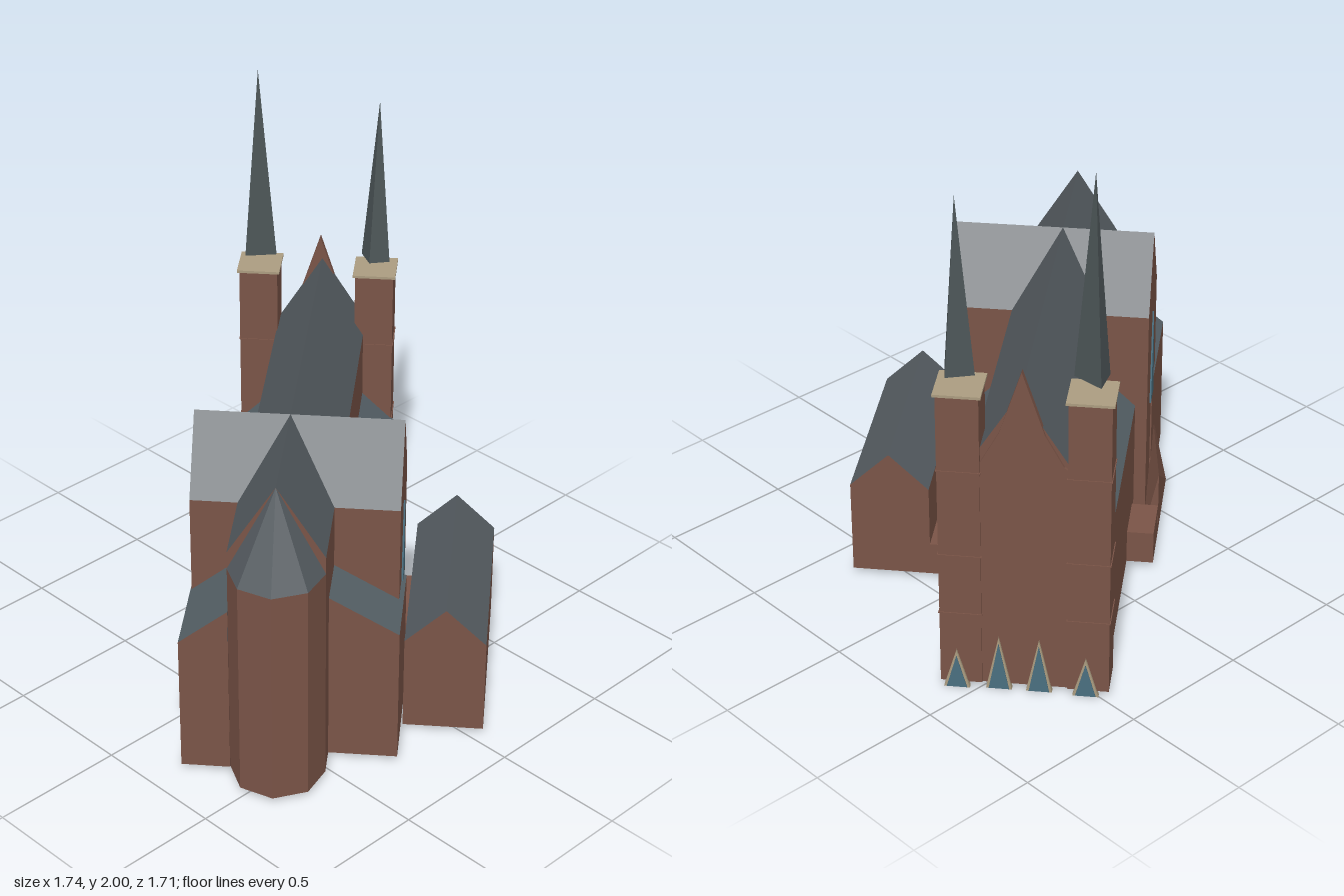
import * as THREE from 'three';
import { ConvexGeometry } from 'three/addons/geometries/ConvexGeometry.js';

const mat = (name, color) => Object.assign(new THREE.MeshStandardMaterial({ color, flatShading: true }), { name });

export function createModel() {
  const brick = mat('brick', 0x7a5447);
  const slate = mat('slate', 0x555c61);
  const aisleSlate = mat('aisleSlate', 0x556066);
  const spireSlate = mat('spireSlate', 0x4c5557);
  const glass = mat('glass', 0x4a6f80);
  const stone = mat('stone', 0xab9c80);

  const model = new THREE.Group();
  model.name = 'church';
  // local x runs along the nave towards the towers, local z across it
  const church = new THREE.Group();
  church.name = 'churchBody';
  church.rotation.y = 0.697;
  model.add(church);

  const add = (name, geometry, material, parent = church) => {
    const mesh = new THREE.Mesh(geometry, material);
    mesh.name = name;
    parent.add(mesh);
    return mesh;
  };
  // box given by its limits
  const block = (name, x0, x1, y0, y1, z0, z1, material = brick) => {
    const g = new THREE.BoxGeometry(x1 - x0, y1 - y0, z1 - z0);
    g.translate((x0 + x1) / 2, (y0 + y1) / 2, (z0 + z1) / 2);
    return add(name, g, material);
  };
  const extrude = (pts, depth) => new THREE.ExtrudeGeometry(
    new THREE.Shape(pts.map(p => new THREE.Vector2(...p))), { depth, bevelEnabled: false });
  // (z, y) profile run along x; (x, y) profile run along z
  const alongX = (name, pts, x0, x1, material) => {
    const g = extrude(pts.map(([z, y]) => [-z, y]), x1 - x0);
    g.rotateY(Math.PI / 2);
    g.translate(x0, 0, 0);
    return add(name, g, material);
  };
  const alongZ = (name, pts, z0, z1, material) => {
    const g = extrude(pts, z1 - z0);
    g.translate(0, 0, z0);
    return add(name, g, material);
  };

  const base = 0.02, mid = -0.035, eave = 0.93, ridge = 1.2;
  const roofMats = [brick, slate];
  const n0 = mid - 0.17, n1 = mid + 0.17;

  // nave
  block('naveWalls', -0.81, 0.89, base, eave, n0, n1);
  alongX('naveRoof', [[n0, eave], [n1, eave], [mid, ridge]], -0.81, 0.89, roofMats);

  // transept with a tall pointed window at each end
  const tx = -0.326, tw = 0.167;
  block('transeptWalls', tx - tw, tx + tw, base, eave, -0.375, 0.367);
  alongZ('transeptRoof', [[tx - tw, eave], [tx + tw, eave], [tx, ridge]], -0.375, 0.367, roofMats);
  for (const z of [-0.381, 0.367]) {
    alongZ('transeptWindow', [[tx - 0.056, 0.5], [tx + 0.056, 0.5], [tx, 0.87]], z, z + 0.006, glass);
  }

  // half-octagon apse
  const apseWalls = new THREE.CylinderGeometry(0.17, 0.17, 0.865 - base, 4, 1, false, Math.PI, Math.PI);
  apseWalls.translate(-0.81, (0.865 + base) / 2, mid);
  add('apseWalls', apseWalls, brick);
  const apseRoof = new THREE.ConeGeometry(0.17, ridge - 0.865, 4, 1, true, Math.PI, Math.PI);
  apseRoof.translate(-0.81, (ridge + 0.865) / 2, mid);
  add('apseRoof', apseRoof, slate);

  // side aisles with lean-to roofs: inner z, outer z, x range, top height
  for (const [zi, zo, x0, x1, top] of [
    [n1, 0.26, tx, 0.77, 0.67], [n1, 0.383, -0.7, tx, 0.69],
    [n0, -0.33, tx, 0.77, 0.67], [n0, -0.38, -0.817, tx, 0.69],
  ]) {
    block('aisleWalls', x0, x1, base, 0.55, Math.min(zi, zo), Math.max(zi, zo));
    alongX('aisleRoof', [[zi, 0.55], [zo, 0.55], [zi, top]], x0, x1, [brick, aisleSlate]);
  }

  // entrance wall with a hollow-sided gable
  alongX('facade', [[-0.2, base], [0.11, base], [0.11, 0.92], [0.1, 0.93], [0.035, 1.05], [-0.043, 1.29],
    [-0.121, 1.05], [-0.186, 0.93], [-0.2, 0.92]], 0.875, 0.9, brick);

  // twin towers with string courses, stone caps and raised spires
  const spires = [
    { z: 0.175, tip: [0.752, 1.89, -0.39], foot: [[0.69, -0.375], [0.73, -0.455], [0.815, -0.4], [0.755, -0.33]] },
    { z: -0.273, tip: [0.457, 2, -0.74], foot: [[0.395, -0.755], [0.485, -0.805], [0.49, -0.68]] },
  ];
  for (const { z, tip, foot } of spires) {
    const square = (name, r, y0, y1, m) => block(name, 0.834 - r, 0.834 + r, y0, y1, z - r, z + r, m);
    square('tower', 0.0735, base, 1.183, brick);
    for (const y of [0.31, 0.55, 0.89]) square('stringCourse', 0.077, y - 0.002, y + 0.002, brick);
    square('towerCap', 0.082, 1.183, 1.193, stone);
    const pts = foot.map(([x, fz]) => new THREE.Vector3(x, 1.24, fz));
    add('spire', new ConvexGeometry([...pts, new THREE.Vector3(...tip)]), spireSlate, model);
  }

  // four pointed doorways
  for (const [z, h, x] of [[0.19, 0.15, 0.907], [0.042, 0.21, 0.9], [-0.1, 0.21, 0.9], [-0.265, 0.15, 0.907]]) {
    alongX('doorFrame', [[z - 0.046, 0], [z + 0.046, 0], [z, h + 0.008]], x - 0.01, x + 0.01, stone);
    alongX('door', [[z - 0.036, 0.003], [z + 0.036, 0.003], [z, h - 0.015]], x + 0.01, x + 0.014, glass);
  }

  // hall beside the nave and its low passage
  block('hallWalls', -0.508, 0.267, base, 0.39, 0.39, 0.683);
  alongX('hallRoof', [[0.39, 0.39], [0.683, 0.39], [0.537, 0.53]], -0.508, 0.267, roofMats);
  block('passage', -0.055, 0.267, base, 0.15, 0.25, 0.4);

  // sloping lean-to and small porch on the far side
  add('leanTo', new ConvexGeometry([
    [-0.494, 0.3, -0.373], [-0.11, 0.28, -0.43], [-0.494, base, -0.43],
    [-0.11, base, -0.43], [-0.1, base, -0.373], [-0.494, base, -0.373],
  ].map(p => new THREE.Vector3(...p))), brick);
  block('porch', -0.1, 0.095, base, 0.15, -0.43, -0.32);

  return model;
}
